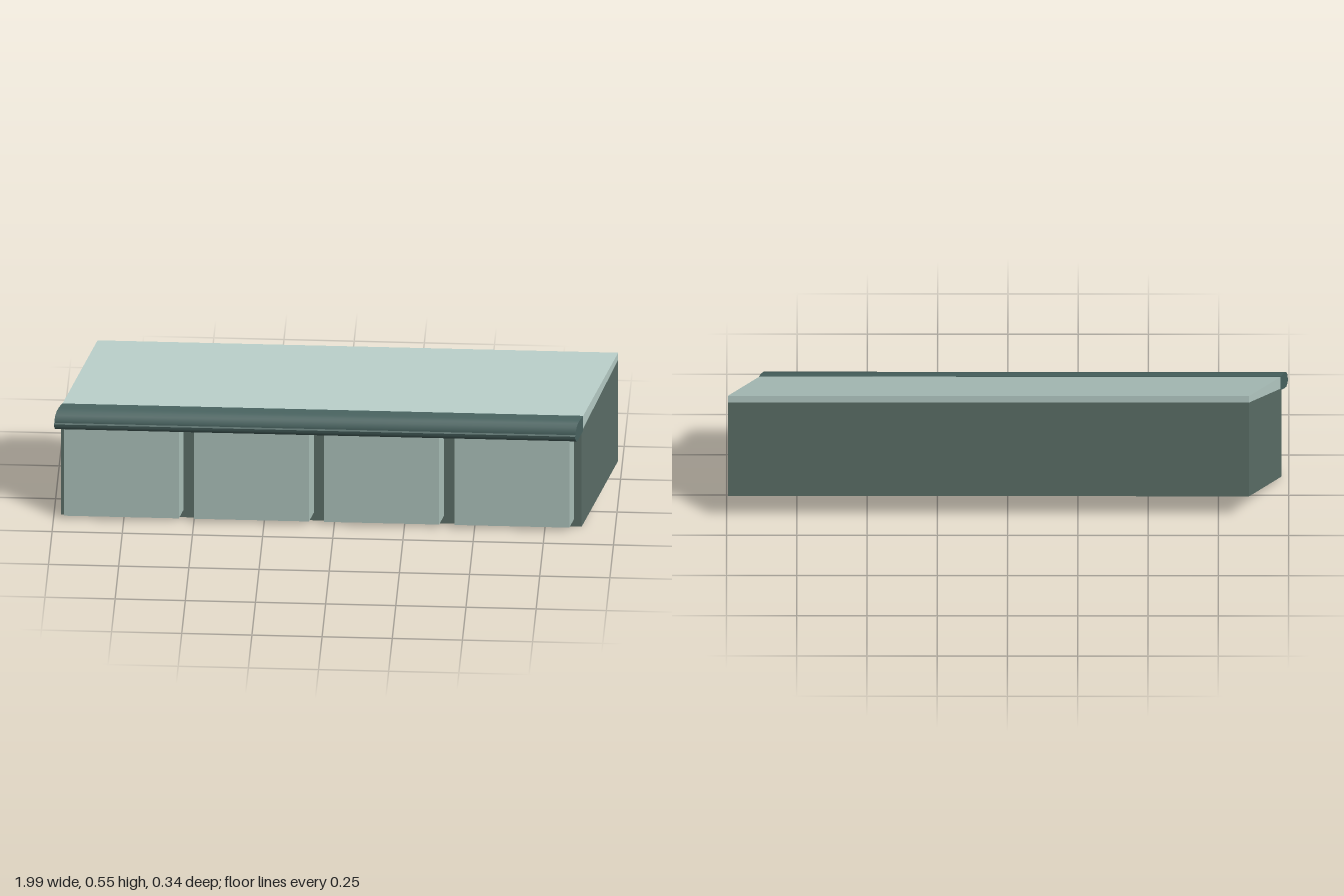
import * as THREE from 'three';
import { toCreasedNormals } from 'three/addons/utils/BufferGeometryUtils.js';

const SHEAR = 0.4;                  // sideways and upward lean towards the back
const FRONT = 0.117, BACK = -0.172; // cabinet depth
const LEFT = -0.975, RIGHT = 0.88;  // row of cabinets at its front plane
const BAYS = 4, BAY = (RIGHT - LEFT) / BAYS;

const paint = (color) => new THREE.MeshStandardMaterial({ color });

// Extrude a [z, y] profile from x0 to x1, then lean it back
function slab(name, profile, x0, x1, material, crease = 0.1) {
  const shape = new THREE.Shape(profile.map(([z, y]) => new THREE.Vector2(z, y)));
  const geo = new THREE.ExtrudeGeometry(shape, { depth: x1 - x0, bevelEnabled: false });
  geo.rotateY(-Math.PI / 2).translate(x1, 0, 0);
  const p = geo.attributes.position;
  for (let i = 0; i < p.count; i++) {
    const lean = SHEAR * (FRONT - p.getZ(i));
    p.setXY(i, p.getX(i) + lean, p.getY(i) + lean);
  }
  const mesh = new THREE.Mesh(toCreasedNormals(geo, crease), material);
  mesh.name = name;
  return mesh;
}

export function createModel() {
  const group = new THREE.Group();
  group.name = 'counter';
  const bodyPaint = paint(0x5a6d66), doorPaint = paint(0xa9beb7);
  const topPaint = paint(0xb4cac4), edgePaint = paint(0x48625f);

  // Cabinets, each with a thick door
  for (let i = 0; i < BAYS; i++) {
    const x = LEFT + i * BAY, inset = 0.027;
    group.add(slab('cabinet' + (i + 1),
      [[BACK, 0], [FRONT, 0], [FRONT, 0.383], [BACK, 0.407]], x, x + BAY, bodyPaint));
    group.add(slab('door' + (i + 1),
      [[FRONT - 0.01, 0.03], [0.155, 0.03], [0.155, 0.385], [FRONT - 0.01, 0.38]],
      x + inset, x + BAY - inset, doorPaint));
  }

  // Worktop, slightly thicker at the front
  group.add(slab('worktop',
    [[BACK, 0.407], [FRONT, 0.383], [FRONT, 0.435], [BACK, 0.435]], LEFT, RIGHT, topPaint));

  // Rounded front edge with a narrow ledge
  group.add(slab('frontEdge', [
    [0.107, 0.378], [0.14, 0.376], [0.155, 0.378], [0.165, 0.389], [0.171, 0.405],
    [0.172, 0.412], [0.168, 0.415], [0.168, 0.423], [0.16, 0.437], [0.149, 0.444],
    [0.135, 0.444], [0.107, 0.437],
  ], LEFT - 0.001, RIGHT + 0.001, edgePaint, 0.7));

  return group;
}
